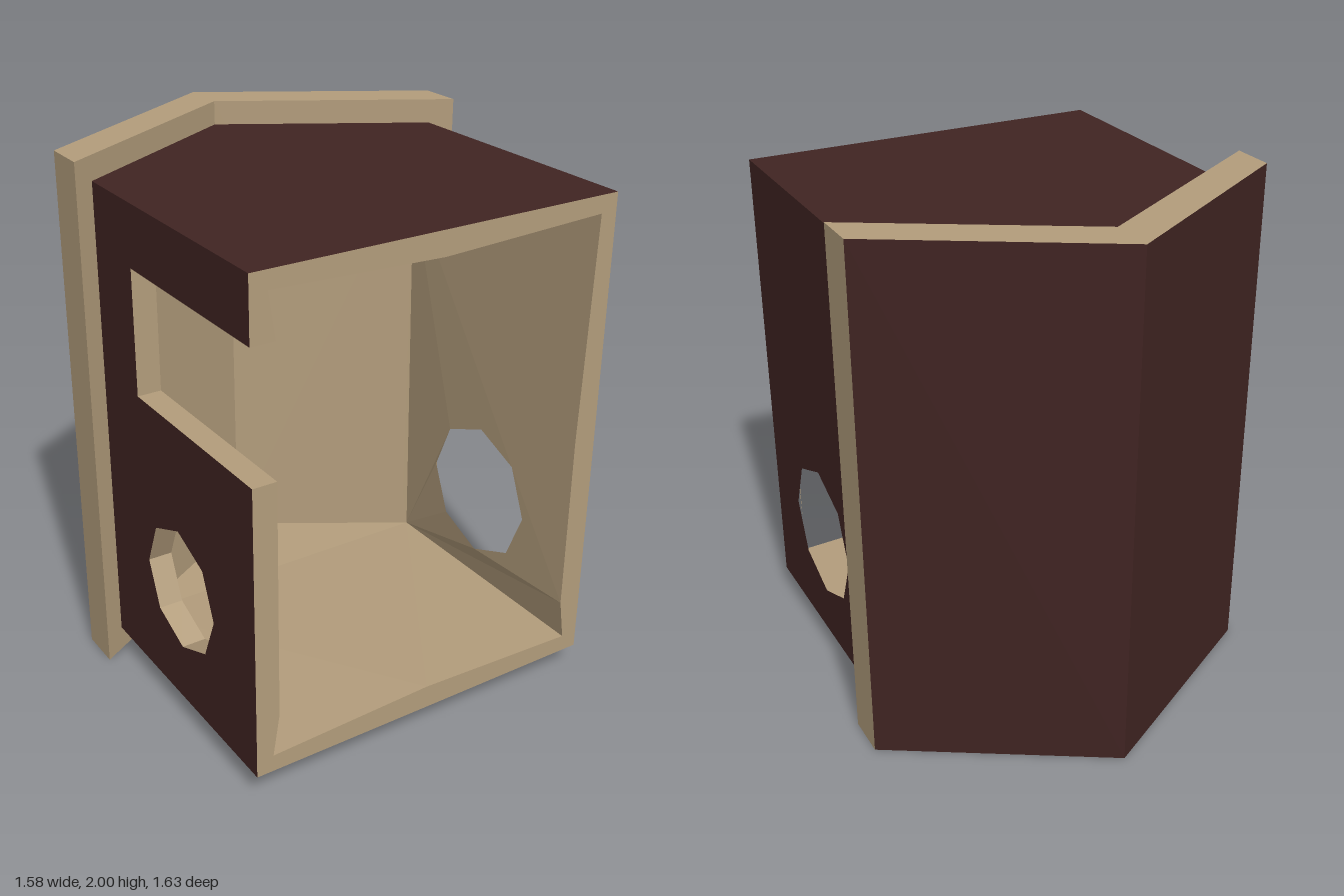
import * as THREE from 'three';

const PAINT = 0x402422, WOOD = 0xb39d7c;
const FRONT = 0.815, EAVE = -0.23, APEX = -0.645;   // body depth marks
const LOW = 0.095, HIGH = 1.91, HALF = 0.71;        // body outer size
const IN_X = 0.645, IN_LOW = 0.16, IN_HIGH = 1.845; // cavity corners
const IN_EAVE = -0.19, IN_APEX = -0.54, THICK = 0.09;
const near = (a, b) => Math.abs(a - b) < 0.01;

// Splits a solid into a painted skin and bare wood, chosen per triangle
function twoTone(name, source, isPainted) {
  const geo = source.index ? source.toNonIndexed() : source;
  const p = geo.attributes.position;
  const parts = { Paint: [], Wood: [] };
  const tri = new THREE.Triangle(), n = new THREE.Vector3(), c = new THREE.Vector3();
  for (let i = 0; i < p.count; i += 3) {
    tri.setFromAttributeAndIndices(p, i, i + 1, i + 2);
    if (tri.getArea() < 1e-9) continue;
    tri.getNormal(n);
    tri.getMidpoint(c);
    const list = isPainted(n, c) ? parts.Paint : parts.Wood;
    for (const v of [tri.a, tri.b, tri.c]) list.push(v.x, v.y, v.z);
  }
  const group = new THREE.Group();
  group.name = name;
  for (const [key, list] of Object.entries(parts)) {
    const g = new THREE.BufferGeometry();
    g.setAttribute('position', new THREE.Float32BufferAttribute(list, 3));
    g.computeVertexNormals();
    const mat = new THREE.MeshStandardMaterial({ color: key === 'Paint' ? PAINT : WOOD });
    const mesh = new THREE.Mesh(g, mat);
    mesh.name = name + key;
    group.add(mesh);
  }
  return group;
}

function moveVertices(geo, rule) {
  const p = geo.attributes.position, v = new THREE.Vector3();
  for (let i = 0; i < p.count; i++) {
    v.fromBufferAttribute(p, i);
    rule(v);
    p.setXYZ(i, v.x, v.y, v.z);
  }
  return geo;
}

const extrude = (shape, depth) => new THREE.ExtrudeGeometry(shape, { depth, bevelEnabled: false });

// Side wall from a (z, y) outline with an octagonal hole; s is the side of x
function sideWall(name, s, frontEdge, holeRadius) {
  const outline = [[FRONT, LOW], ...frontEdge, [FRONT, HIGH],
    [EAVE, HIGH], [EAVE - 0.0005, 1.68], [EAVE - 0.0005, 0.32], [EAVE, LOW]];
  const flat = ([z, y]) => new THREE.Vector2(-s * z, y);
  const shape = new THREE.Shape(outline.map(flat));
  const hole = [];
  for (let i = 0; i < 8; i++) {
    const a = i * Math.PI / 4;
    hole.push(flat([0.3 + holeRadius * Math.cos(a), 0.56 + holeRadius * Math.sin(a)]));
  }
  shape.holes.push(new THREE.Path(hole));
  const geo = extrude(shape, THICK);
  geo.translate(0, 0, HALF - THICK).rotateY(s * Math.PI / 2);
  // mitre the inner face into its neighbours
  moveVertices(geo, v => {
    if (Math.abs(v.x) > HALF - 0.02) return;
    if (near(v.z, EAVE)) v.z = IN_EAVE;
    if (near(v.y, HIGH)) { v.y = IN_HIGH; v.x = s * IN_X; }
    if (near(v.y, LOW)) { v.y = IN_LOW; v.x = s * IN_X; }
  });
  return twoTone(name, geo, (n, c) => Math.abs(c.x) > HALF - 0.005);
}

// Pentagonal end panel; s = 1 for the upper one, -1 for the lower one
function endPanel(name, s) {
  const outline = [[-HALF, FRONT], [0, FRONT + 0.0005], [HALF, FRONT],
    [HALF, EAVE], [0, APEX], [-HALF, EAVE]];
  const geo = extrude(new THREE.Shape(outline.map(([x, z]) => new THREE.Vector2(x, -s * z))), THICK);
  geo.rotateX(-s * Math.PI / 2);
  const outerY = s > 0 ? HIGH : LOW, cornerY = s > 0 ? IN_HIGH : IN_LOW;
  geo.translate(0, outerY - s * THICK, 0);
  moveVertices(geo, v => {
    if (near(v.y, outerY)) return;
    if (near(v.z, EAVE)) v.z = IN_EAVE;
    if (near(v.z, APEX)) v.z = IN_APEX;
    if (Math.abs(v.x) > 0.7) { v.x = Math.sign(v.x) * IN_X; v.y = cornerY; }
  });
  return twoTone(name, geo, (n, c) => Math.abs(c.y - outerY) < 0.005);
}

export function createModel() {
  const model = new THREE.Group();
  model.name = 'birdhouse';

  // Side walls: one plain, one with a slot open to the front
  const E = FRONT + 0.0005;
  model.add(sideWall('leftWall', 1, [[E, 0.32], [E, 1.0]], 0.27));
  model.add(sideWall('rightWall', -1,
    [[E, 0.32], [FRONT, 1.21], [0.04, 1.21], [0.04, 1.68], [FRONT, 1.68]], 0.24));

  // Pentagonal ends
  model.add(endPanel('upperPanel', 1), endPanel('lowerPanel', -1));

  // Folded inner lining under the roof
  const lining = new THREE.PlaneGeometry(2 * IN_X, IN_HIGH - IN_LOW, 2, 1);
  moveVertices(lining, v => {
    const t = Math.abs(v.x) / IN_X;
    v.z = THREE.MathUtils.lerp(IN_APEX, IN_EAVE, t);
    v.y = v.y * THREE.MathUtils.lerp(0.97, 1, t) + (IN_LOW + IN_HIGH) / 2;
  });
  model.add(twoTone('roofLining', lining, () => false));

  // Chevron roof, painted on its outer slopes only
  const chevron = [[-0.79, -0.18], [0, APEX], [0.79, -0.18], [0.79, -0.345], [0, -0.815], [-0.79, -0.345]];
  const roof = extrude(new THREE.Shape(chevron.map(([x, z]) => new THREE.Vector2(x, -z))), 2);
  roof.rotateX(-Math.PI / 2);
  model.add(twoTone('roof', roof, n => n.z < -0.5));

  return model;
}
